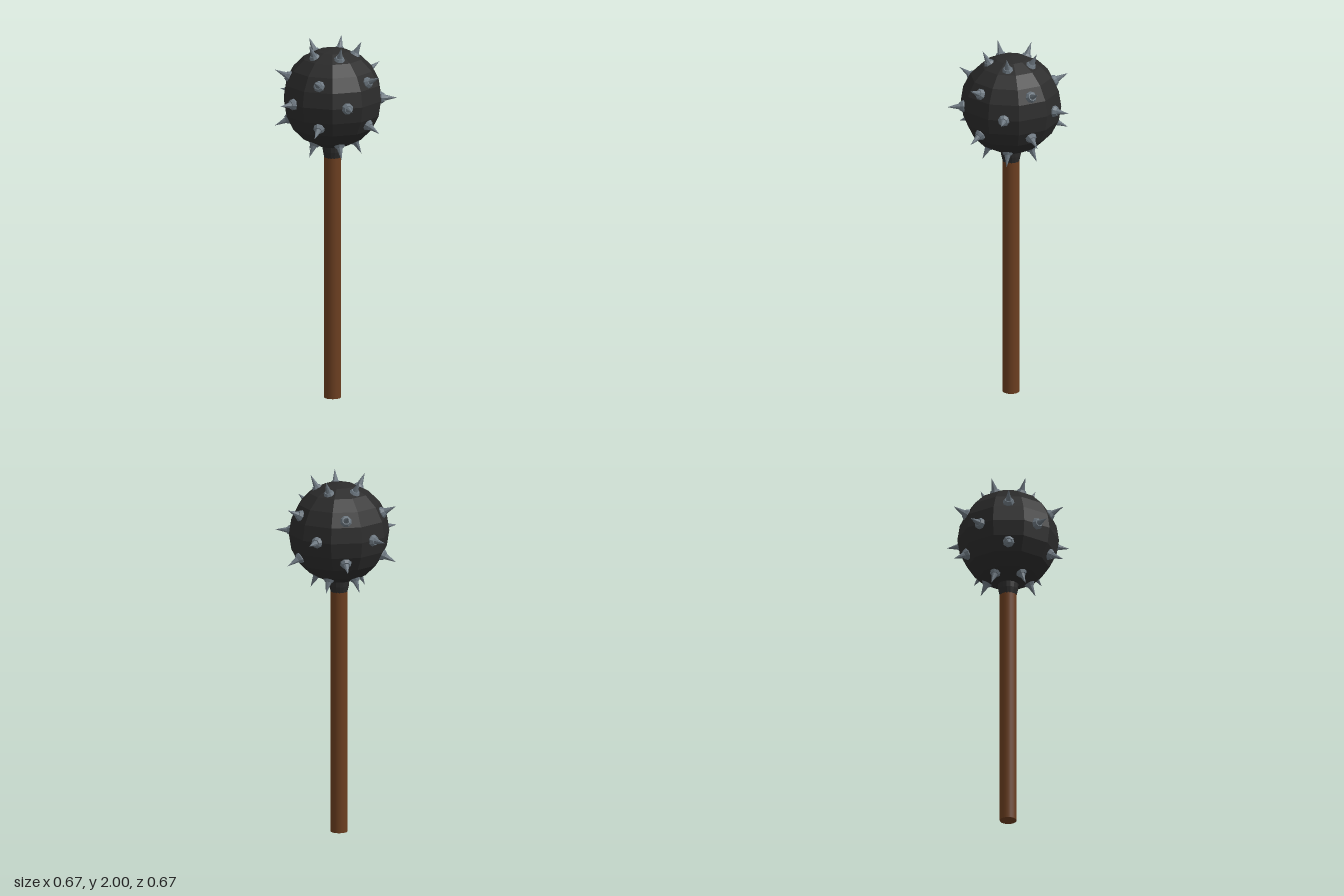
import * as THREE from 'three';

const material = (name, color, flatShading = false) => {
  const m = new THREE.MeshStandardMaterial({ color, flatShading });
  m.name = name;
  return m;
};

export function createModel() {
  const mace = new THREE.Group();
  mace.name = 'spikedMace';
  const wood = material('brownWood', 0x6b3e20);
  const iron = material('blackIron', 0x2b2b2b, true);
  const steel = material('greySteel', 0x6c7780, true);
  const axisZ = -0.0185, headY = 1.684;

  const add = (name, geometry, mat, y, parent = mace) => {
    const mesh = new THREE.Mesh(geometry, mat);
    mesh.name = name;
    mesh.position.y = y;
    parent.add(mesh);
    return mesh;
  };
  const lathe = (points, sides) =>
    new THREE.LatheGeometry(points.map(([r, y]) => new THREE.Vector2(r, y)), sides);

  // Wooden shaft
  add('handle', new THREE.CylinderGeometry(0.046, 0.046, 1.37, 20), wood, 0.685).position.z = axisZ;

  // Socket joining the shaft to the head
  const socket = lathe([[0, 1.35], [0.046, 1.35], [0.054, 1.385], [0.057, 1.43], [0, 1.43]], 16);
  add('socket', socket, iron, 0).position.z = axisZ;

  // Faceted ball and its spikes share one centre
  const head = new THREE.Group();
  head.name = 'head';
  head.position.set(0, headY, axisZ);
  mace.add(head);
  add('ball', new THREE.SphereGeometry(0.277, 10, 10), iron, 0, head);

  // Each spike has a chamfered eight-sided foot and a long point
  const spike = lathe([
    [0, 0.245], [0.029, 0.245], [0.032, 0.256], [0.032, 0.268],
    [0.022, 0.284], [0.017, 0.284], [0, 0.352],
  ], 8);

  // Five rings of five spikes: polar angle and turn about the shaft, in degrees
  const rings = [[26.57, 0], [63.43, 36], [90, 0], [116.57, 36], [153.43, 0]];
  const up = new THREE.Vector3(0, 1, 0);
  rings.forEach(([polar, turn], row) => {
    for (let i = 0; i < 5; i++) {
      const direction = new THREE.Vector3().setFromSphericalCoords(
        1, THREE.MathUtils.degToRad(polar), THREE.MathUtils.degToRad(turn + i * 72));
      const mesh = add(`spike${row + 1}_${i + 1}`, spike, steel, 0, head);
      mesh.quaternion.setFromUnitVectors(up, direction);
    }
  });

  return mace;
}
